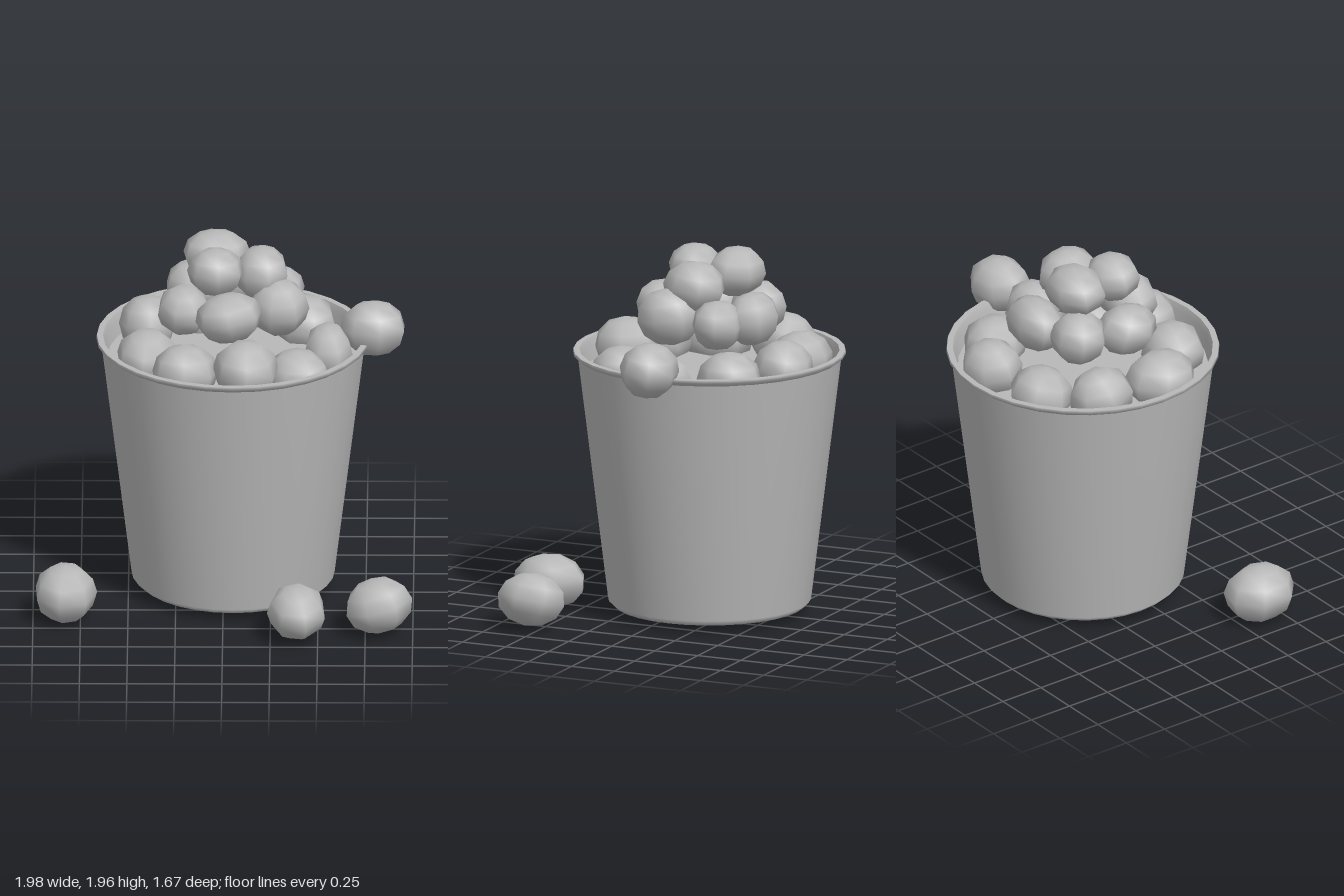
import * as THREE from 'three';

export function createModel() {
  const model = new THREE.Group();
  const grey = new THREE.MeshStandardMaterial({ color: 0xb8b8b8 });
  grey.name = 'plain grey';

  // Bucket: lathed in three bands so the rim edges stay crisp
  const bucket = new THREE.Group();
  bucket.name = 'bucket';
  bucket.position.set(0.05, 0, -0.125);
  const band = (name, profile) => {
    const points = profile.map(([r, y]) => new THREE.Vector2(r, y));
    const mesh = new THREE.Mesh(new THREE.LatheGeometry(points, 32), grey);
    mesh.name = name;
    bucket.add(mesh);
  };
  band('outerWall', [[0, 0.04], [0.505, 0.04], [0.535, 0.07], [0.695, 1.38]]);
  band('rimEdge', [[0.695, 1.38], [0.72, 1.4], [0.717, 1.415]]);
  band('rimTop', [[0.717, 1.415], [0.685, 1.415]]);
  band('innerWall', [[0.685, 1.415], [0.672, 1.38], [0.658, 1.29]]);

  // Flat fill that the heap rests on
  const fill = new THREE.Mesh(new THREE.CircleGeometry(0.66, 32), grey);
  fill.name = 'fill';
  fill.rotation.x = -Math.PI / 2;
  fill.position.y = 1.3;
  bucket.add(fill);
  model.add(bucket);

  let seed = 7;
  const rand = () => (seed = (seed * 16807) % 2147483647) / 2147483647;

  // Lumpy low-poly ball: facets turned first, then stretched to its radii
  const addBall = (parent, name, [x, y, z, rx, ry, rz, roll = 0]) => {
    const geo = new THREE.SphereGeometry(1.02, 7, 6);
    geo.rotateY(rand() * 6.28);
    geo.rotateX((rand() - 0.5) * 0.6);
    geo.scale(rx, ry, rz);
    const mesh = new THREE.Mesh(geo, grey);
    mesh.name = name;
    mesh.position.set(x, y, z);
    mesh.rotation.z = roll;
    parent.add(mesh);
  };

  // x, y, z, then radii along each axis and an optional roll
  const layers = {
    lowerRing: [
      [-0.16, 1.36, -0.56, 0.18, 0.15, 0.165],
      [0.19, 1.39, -0.62, 0.165, 0.15, 0.16],
      [0.43, 1.36, -0.42, 0.165, 0.15, 0.175],
      [0.55, 1.35, -0.06, 0.13, 0.15, 0.19],
      [0.39, 1.33, 0.22, 0.17, 0.14, 0.17],
      [0.12, 1.4, 0.32, 0.175, 0.16, 0.18],
      [-0.2, 1.37, 0.28, 0.175, 0.15, 0.165],
      [-0.4, 1.36, 0.05, 0.165, 0.15, 0.2],
      [-0.4, 1.39, -0.34, 0.15, 0.15, 0.18],
    ],
    middleRing: [
      [0.03, 1.63, 0.15, 0.18, 0.13, 0.15, 0.2],
      [0.29, 1.63, 0.0, 0.16, 0.15, 0.17],
      [0.28, 1.61, -0.28, 0.15, 0.13, 0.14],
      [0.1, 1.62, -0.4, 0.19, 0.14, 0.13],
      [-0.16, 1.62, -0.31, 0.15, 0.14, 0.15],
      [-0.21, 1.6, -0.03, 0.14, 0.13, 0.17],
    ],
    topCluster: [
      [-0.04, 1.83, -0.24, 0.18, 0.13, 0.15],
      [-0.04, 1.83, 0.0, 0.15, 0.125, 0.145],
      [0.2, 1.78, -0.11, 0.145, 0.14, 0.17],
    ],
    looseBalls: [
      [0.79, 1.46, -0.12, 0.175, 0.145, 0.155],
      [-0.83, 0.155, 0.38, 0.165, 0.15, 0.2],
      [0.39, 0.16, 0.64, 0.155, 0.14, 0.2],
      [0.82, 0.16, 0.55, 0.18, 0.14, 0.18, 0.25],
    ],
  };
  for (const [name, balls] of Object.entries(layers)) {
    const group = new THREE.Group();
    group.name = name;
    balls.forEach((b, i) => addBall(group, `${name}Ball${i + 1}`, b));
    model.add(group);
  }
  return model;
}
